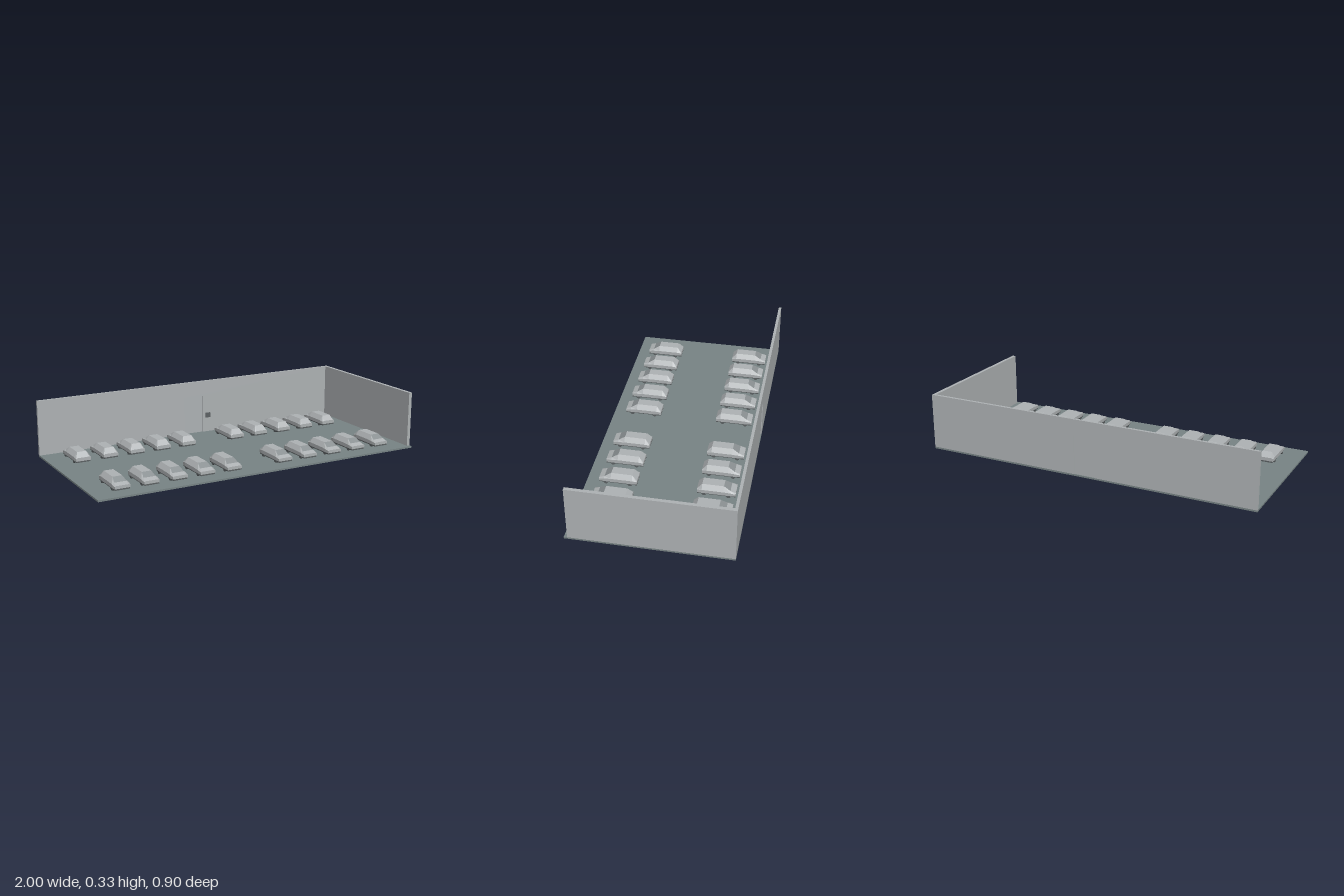
import * as THREE from 'three';

const material = (name, color, extra = {}) => {
  const m = new THREE.MeshStandardMaterial({ color, flatShading: true, ...extra });
  m.name = name;
  return m;
};

export function createModel() {
  const wallGrey = material('wall grey', 0xaeb2b4);
  const floorGrey = material('floor slate', 0x788485);
  const glassGrey = material('glass grey', 0x8a9092);
  const darkGrey = material('dark grey', 0x5c6163);

  const model = new THREE.Group();
  model.name = 'carPark';

  const add = (parent, name, geometry, mat, x = 0, y = 0, z = 0) => {
    const mesh = new THREE.Mesh(geometry, mat);
    mesh.name = name;
    mesh.position.set(x, y, z);
    parent.add(mesh);
    return mesh;
  };
  const box = (parent, name, mat, x0, x1, y0, y1, z0, z1) =>
    add(parent, name, new THREE.BoxGeometry(x1 - x0, y1 - y0, z1 - z0), mat,
      (x0 + x1) / 2, (y0 + y1) / 2, (z0 + z1) / 2);

  // Floor slab and side wall
  box(model, 'floor', floorGrey, -1, 1, 0, 0.01, -0.452, 0.452);
  box(model, 'sideWall', wallGrey, 0.98, 1, 0.01, 0.334, -0.436, 0.434);

  // Back wall with a doorway cut out of its lower edge
  const wall = new THREE.Shape([
    [-1, 0.01], [-0.065, 0.01], [-0.065, 0.24], [0.065, 0.24],
    [0.065, 0.01], [1, 0.01], [1, 0.334], [-1, 0.334],
  ].map(([x, y]) => new THREE.Vector2(x, y)));
  const wallGeometry = new THREE.ExtrudeGeometry(wall, { depth: 0.016, bevelEnabled: false });
  add(model, 'backWall', wallGeometry, wallGrey, 0, 0, -0.452);

  // Recessed door and the control panel beside it
  box(model, 'door', wallGrey, -0.065, 0.065, 0.01, 0.24, -0.447, -0.442);
  box(model, 'doorPanel', darkGrey, 0.082, 0.114, 0.1, 0.13, -0.436, -0.429);

  // Car body: cross-sections [z, half width, shoulder y, top half width, top y]
  const sections = [
    [-0.107, 0.044, 0.042, 0.036, 0.046],
    [-0.08, 0.047, 0.047, 0.027, 0.074],
    [0.04, 0.047, 0.047, 0.027, 0.074],
    [0.077, 0.047, 0.045, 0.035, 0.053],
    [0.107, 0.044, 0.039, 0.036, 0.043],
  ];
  const ring = ([z, w, shoulder, top, y]) => [
    [-w, 0.026, z], [w, 0.026, z], [w, shoulder, z],
    [top, y, z], [-top, y, z], [-w, shoulder, z],
  ];
  const rings = sections.map(ring);
  const body = [], screen = [];
  for (let s = 0; s < rings.length - 1; s++) {
    for (let i = 0; i < 6; i++) {
      const j = (i + 1) % 6;
      const a = rings[s][i], b = rings[s][j], c = rings[s + 1][j], d = rings[s + 1][i];
      const isScreen = s === 2 && i === 3;
      (isScreen ? screen : body).push(...a, ...b, ...c, ...a, ...c, ...d);
    }
  }
  // End caps
  const last = rings[rings.length - 1];
  for (let i = 1; i < 5; i++) {
    body.push(...rings[0][0], ...rings[0][i + 1], ...rings[0][i]);
    body.push(...last[0], ...last[i], ...last[i + 1]);
  }
  const surface = (points) => {
    const g = new THREE.BufferGeometry();
    g.setAttribute('position', new THREE.Float32BufferAttribute(points, 3));
    g.computeVertexNormals();
    return g;
  };
  const bodyGeometry = surface(body);
  const screenGeometry = surface(screen);
  const wheelGeometry = new THREE.CylinderGeometry(0.013, 0.013, 0.014, 12).rotateZ(Math.PI / 2);

  const makeCar = (x, z, turn) => {
    const car = new THREE.Group();
    car.name = 'car';
    add(car, 'carBody', bodyGeometry, wallGrey);
    add(car, 'windscreen', screenGeometry, glassGrey);
    box(car, 'chassis', darkGrey, -0.042, 0.042, 0.018, 0.028, -0.106, 0.106);
    for (const sx of [-1, 1]) {
      for (const wz of [-0.068, 0.068]) add(car, 'wheel', wheelGeometry, darkGrey, sx * 0.039, 0.023, wz);
    }
    car.position.set(x, 0, z);
    car.rotation.y = turn;
    model.add(car);
  };

  // Two rows of cars, five on each side of the middle gap, facing outwards
  for (let i = 0; i < 5; i++) {
    for (const x of [-0.833 + i * 0.1667, 0.162 + i * 0.1667]) {
      makeCar(x, 0.273, 0);
      makeCar(x, -0.277, Math.PI);
    }
  }
  return model;
}
